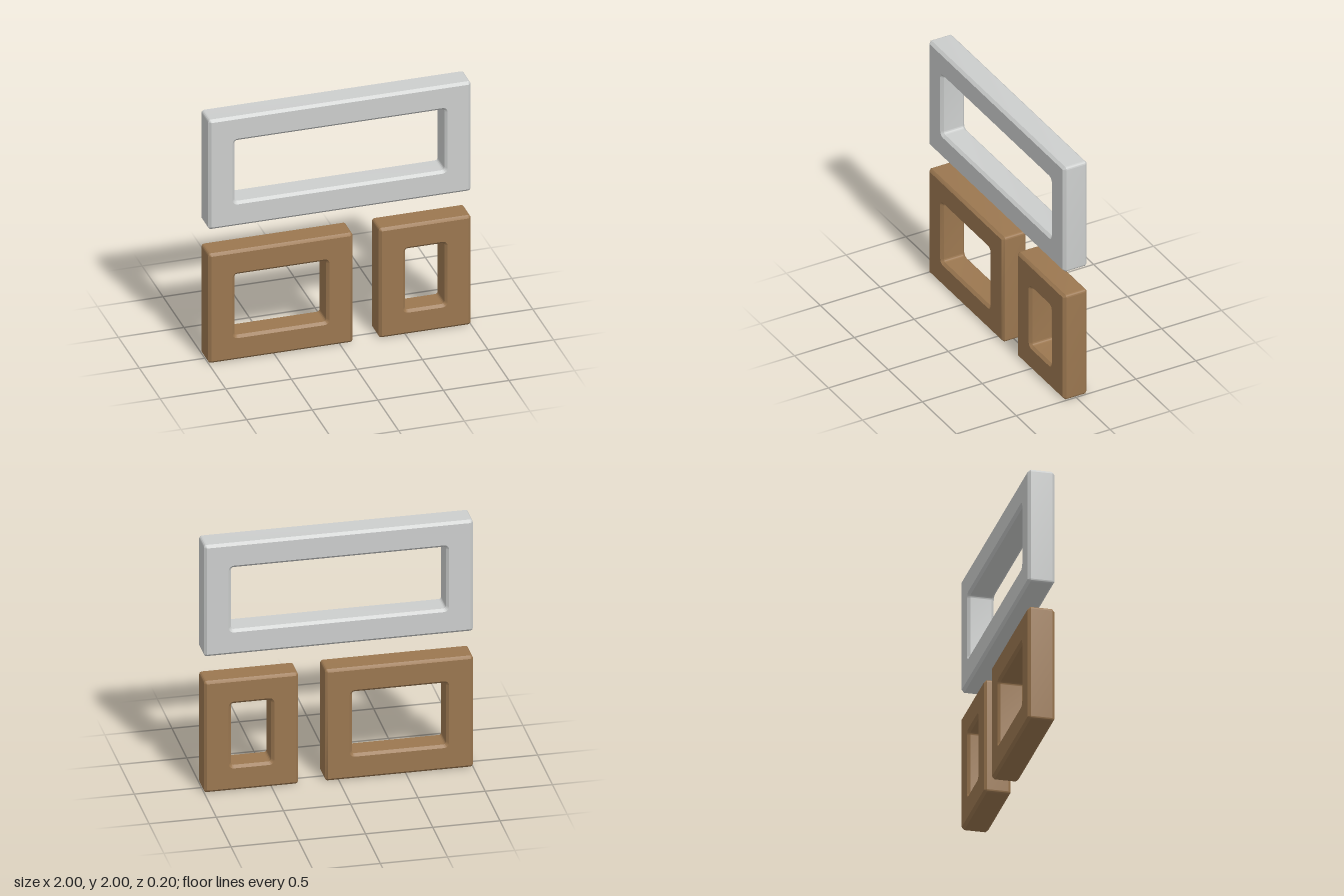
import * as THREE from 'three';
import { toCreasedNormals } from 'three/addons/utils/BufferGeometryUtils.js';

const BEVEL = 0.02; // chamfer on every front and back edge
const DEPTH = 0.2;
const BORDER = 0.18; // frame width at the face, outer edge to opening

// Trace a rounded rectangle onto a Shape or Path
function roundedRect(path, x0, y0, x1, y1, r) {
  path.absarc(x1 - r, y0 + r, r, -Math.PI / 2, 0);
  path.absarc(x1 - r, y1 - r, r, 0, Math.PI / 2);
  path.absarc(x0 + r, y1 - r, r, Math.PI / 2, Math.PI);
  path.absarc(x0 + r, y0 + r, r, Math.PI, Math.PI * 1.5);
  path.closePath();
  return path;
}

// Chamfered rectangular frame with a rounded opening; bounds are outer extents
function makeFrame(name, x0, y0, x1, y1, material) {
  const shape = roundedRect(new THREE.Shape(),
    x0 + BEVEL, y0 + BEVEL, x1 - BEVEL, y1 - BEVEL, 0.002);
  shape.holes.push(roundedRect(new THREE.Path(),
    x0 + BORDER, y0 + BORDER, x1 - BORDER, y1 - BORDER, 0.04));
  const geometry = new THREE.ExtrudeGeometry(shape, {
    depth: DEPTH - 2 * BEVEL,
    bevelEnabled: true,
    bevelThickness: BEVEL,
    bevelSize: BEVEL,
    bevelSegments: 1,
    curveSegments: 5,
  });
  geometry.translate(0, 0, BEVEL - DEPTH / 2);
  const mesh = new THREE.Mesh(toCreasedNormals(geometry, Math.PI / 6), material);
  mesh.name = name;
  return mesh;
}

export function createModel() {
  const lightGrey = new THREE.MeshStandardMaterial({ color: 0xcccecd });
  lightGrey.name = 'lightGrey';
  const brown = new THREE.MeshStandardMaterial({ color: 0x9b7750 });
  brown.name = 'brown';

  const model = new THREE.Group();
  model.name = 'frames';
  model.add(
    makeFrame('upperWideFrame', -1, 1.1, 1, 2, lightGrey),
    makeFrame('lowerRightFrame', -1, 0, 0.1, 0.9, brown),
    makeFrame('lowerLeftFrame', 0.3, 0, 1, 0.9, brown),
  );
  return model;
}
